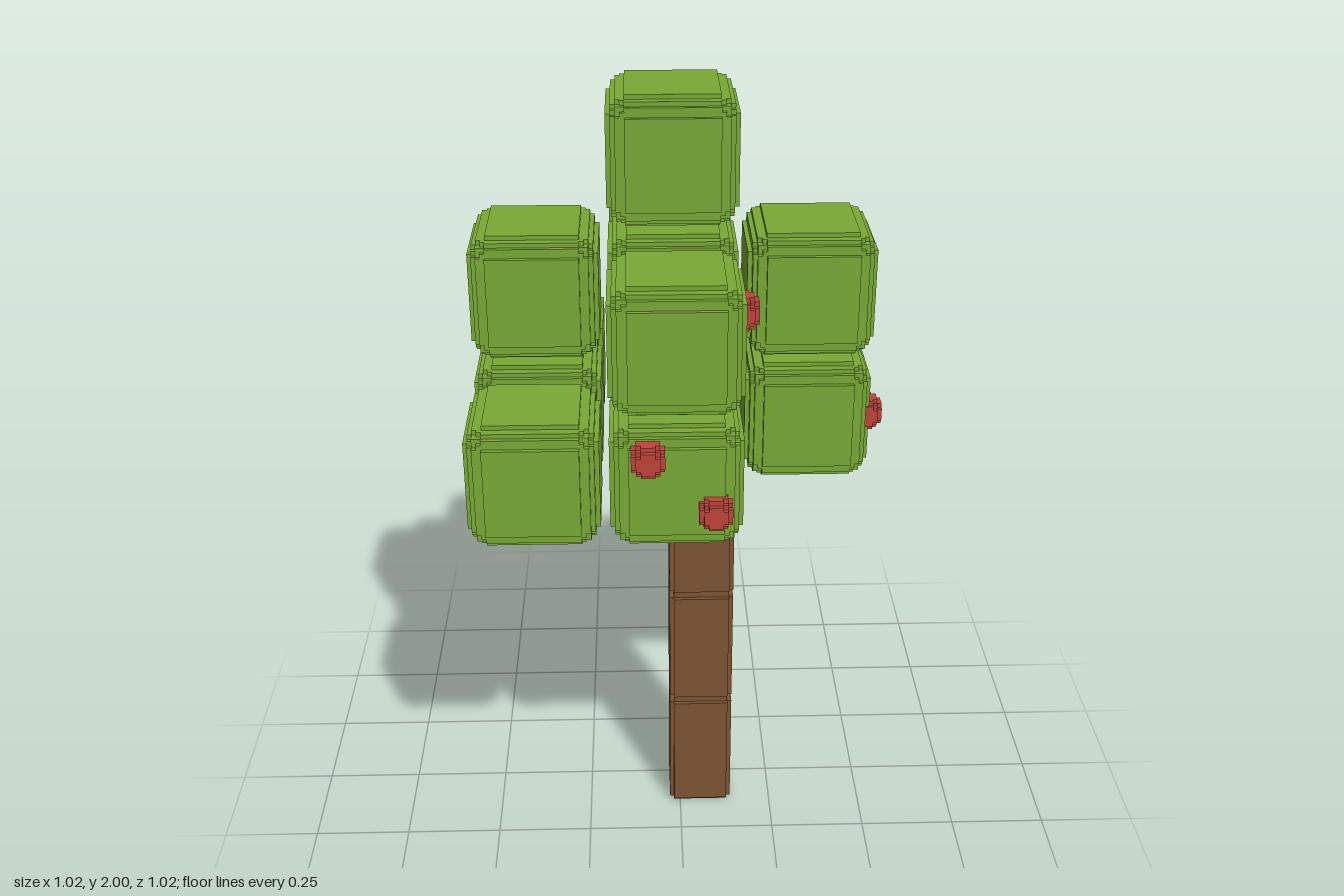
import * as THREE from 'three';
import { mergeGeometries } from 'three/addons/utils/BufferGeometryUtils.js';

const U = 2 / 179; // one small block

// Block with stair-stepped edges: a union of boxes, each inset by (a, b, c) in every axis order.
function steppedBlock(w, h, d, insets) {
  const boxes = [];
  for (const [a, b, c] of insets) {
    const orders = new Set([[a, b, c], [a, c, b], [b, a, c], [b, c, a], [c, a, b], [c, b, a]].map(String));
    for (const key of orders) {
      const [i, j, k] = key.split(',').map(Number);
      boxes.push(new THREE.BoxGeometry((w - 2 * i) * U, (h - 2 * j) * U, (d - 2 * k) * U));
    }
  }
  return mergeGeometries(boxes);
}

export function createModel() {
  const tree = new THREE.Group();
  tree.name = 'tree';

  const material = (name, color) => {
    const m = new THREE.MeshStandardMaterial({ color });
    m.name = name;
    return m;
  };
  const leafGreen = material('leafGreen', 0x78aa36);
  const barkBrown = material('barkBrown', 0x7e5534);
  const fruitRed = material('fruitRed', 0xc0443a);

  const group = (name) => {
    const g = new THREE.Group();
    g.name = name;
    tree.add(g);
    return g;
  };
  const add = (parent, name, geometry, mat, x, y, z) => {
    const mesh = new THREE.Mesh(geometry, mat);
    mesh.name = name;
    mesh.position.set(x * U, y * U, z * U);
    parent.add(mesh);
  };

  // Trunk: three stacked segments with fine stepped edges
  const trunk = group('trunk');
  for (const [bottom, top] of [[0, 31], [31, 61], [61, 91]]) {
    const segment = steppedBlock(15, top - bottom, 15, [[0, 1, 1]]);
    add(trunk, 'trunkSegment', segment, barkBrown, 5, (bottom + top) / 2, 5);
  }

  // Foliage: a wide layer with one corner missing, a plus-shaped layer and a single top block
  const foliage = group('foliage');
  const leafBlock = steppedBlock(28, 28, 28, [[0, 4, 4], [1, 2, 4], [1, 3, 3], [2, 2, 2]]);
  const layers = [
    (i, k) => !(i === 1 && k === 1),
    (i, k) => i === 0 || k === 0,
    (i, k) => i === 0 && k === 0,
  ];
  layers.forEach((has, level) => {
    for (let i = -1; i <= 1; i++) {
      for (let k = -1; k <= 1; k++) {
        if (has(i, k)) add(foliage, 'leafBlock', leafBlock, leafGreen, 30 * i - 1.5, 105 + 30 * level, 30 * k - 1.5);
      }
    }
  });

  // Fruit: small rounded blocks half sunk into the leaf faces
  const fruits = group('fruits');
  const fruit = steppedBlock(7, 7, 7, [[0, 2, 2], [0, 1, 2], [1, 1, 1]]);
  for (const [x, y, z] of [[-7.5, 113, 42], [6.5, 100.5, 42], [42, 105.5, 5.5], [12, 140, 29.5]]) {
    add(fruits, 'fruit', fruit, fruitRed, x, y, z);
  }

  return tree;
}
